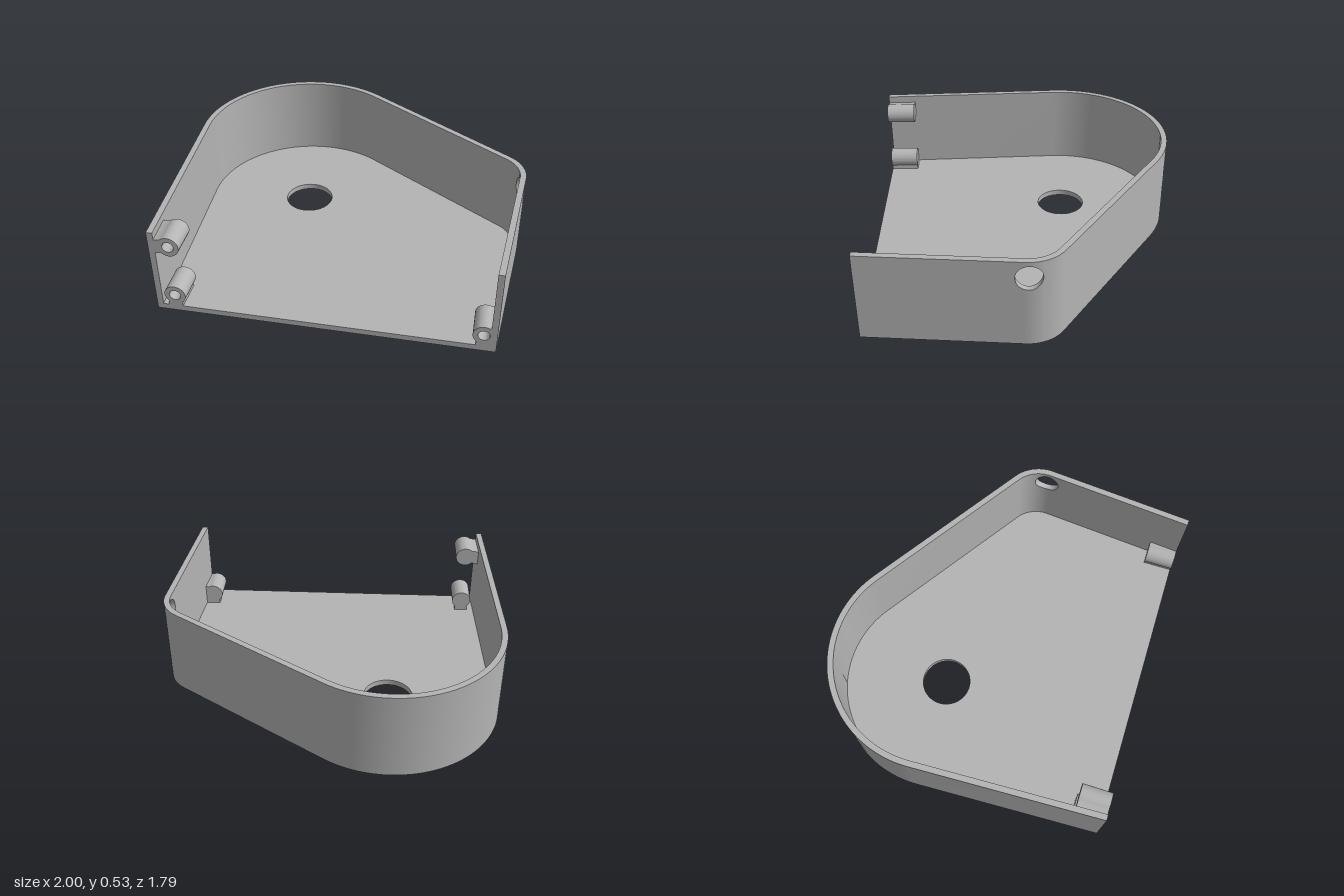
import * as THREE from 'three';
import { toCreasedNormals } from 'three/addons/utils/BufferGeometryUtils.js';

const H = 0.53, T = 0.035, FRONT = 0.895;          // height, wall thickness, open front edge
const BIG = { x: -0.35, z: -0.245, r: 0.65 };      // large rounded corner
const SMALL = { x: 0.77, z: -0.003, r: 0.23 };     // small rounded corner
const PORT = { y: 0.43, z: -0.005, r: 0.073 };     // round hole through the right wall
const TILT = 0.084;                                // lean of the right wall
const SLOPE = 0.983;                               // angle of the slanted back wall's normal

// A station is [outerX, outerZ, innerX, innerZ]
function sideX(z, r) {
  const tx = SMALL.x + r * Math.cos(TILT), tz = SMALL.z + r * Math.sin(TILT);
  if (z > tz) return tx - (z - tz) * Math.tan(TILT);
  return SMALL.x + Math.sqrt(r * r - (z - SMALL.z) ** 2);
}
const sideStation = (z) => [sideX(z, SMALL.r), z, sideX(z, SMALL.r - T), z];

function arcStations(c, from, to, steps) {
  const list = [];
  for (let i = 0; i <= steps; i++) {
    const a = from + (to - from) * i / steps, cos = Math.cos(a), sin = Math.sin(a);
    list.push([c.x + c.r * cos, c.z - c.r * sin, c.x + (c.r - T) * cos, c.z - (c.r - T) * sin]);
  }
  return list;
}

// Wall strip lofted through stations; bottom and top heights may vary per station
function wallGeometry(stations, bottom, top, capStart, capEnd) {
  const pos = [], index = [];
  stations.forEach(([ox, oz, ix, iz], i) => {
    const y0 = bottom(i), y1 = top(i);
    pos.push(ox, y0, oz, ox, y1, oz, ix, y1, iz, ix, y0, iz);
  });
  const quad = (a, b, c, d) => index.push(a, b, c, a, c, d);
  const last = (stations.length - 1) * 4;
  for (let i = 0; i < last; i += 4) {
    for (let k = 0; k < 4; k++) {
      const n = (k + 1) % 4;
      quad(i + k, i + 4 + k, i + 4 + n, i + n);
    }
  }
  if (capStart) quad(0, 1, 2, 3);
  if (capEnd) quad(last, last + 3, last + 2, last + 1);
  const g = new THREE.BufferGeometry();
  g.setAttribute('position', new THREE.Float32BufferAttribute(pos, 3));
  g.setIndex(index);
  return toCreasedNormals(g, 0.5);
}

function extrude(shape, depth) {
  const g = new THREE.ExtrudeGeometry(shape, { depth, bevelEnabled: false, curveSegments: 32 });
  return toCreasedNormals(g, 0.5);
}

export function createModel() {
  const group = new THREE.Group();
  const grey = new THREE.MeshStandardMaterial({ color: 0xb4b4b4 });
  grey.name = 'grey';
  const add = (name, geometry, parent = group) => {
    const mesh = new THREE.Mesh(geometry, grey);
    mesh.name = name;
    parent.add(mesh);
    return mesh;
  };

  // Wall stations, running from the front right round the back to the front left
  const steps = 40;
  const portStations = [];
  for (let i = 0; i <= steps; i++) {
    portStations.push(sideStation(PORT.z + PORT.r * Math.cos(Math.PI * i / steps)));
  }
  const before = [sideStation(FRONT), portStations[0]];
  const after = [
    portStations[steps],
    ...arcStations(SMALL, 0.45, SLOPE, 10),
    ...arcStations(BIG, SLOPE, Math.PI + 0.044, 56),
    [-0.95, FRONT, -0.915, FRONT],
  ];

  // Floor with a round opening
  const outline = [...before, ...portStations.slice(1), ...after.slice(1)];
  const floorShape = new THREE.Shape(outline.map(([x, z]) => new THREE.Vector2(x, -z)));
  floorShape.holes.push(new THREE.Path().absarc(-0.345, 0.245, 0.145, 0, Math.PI * 2, true));
  add('floor', extrude(floorShape, T).rotateX(-Math.PI / 2));

  // Walls, with the strip at the port split above and below the hole
  const base = () => T, rim = () => H;
  const arch = (i) => PORT.r * Math.sin(Math.PI * i / steps);
  add('rightWall', wallGeometry(before, base, rim, true, false));
  add('wallBelowPort', wallGeometry(portStations, base, (i) => PORT.y - arch(i), false, false));
  add('wallAbovePort', wallGeometry(portStations, (i) => PORT.y + arch(i), rim, false, false));
  add('backAndLeftWall', wallGeometry(after, base, rim, false, true));

  // Screw bosses: a round post with a web to the wall or floor and a blind hole
  const boss = (name, x, y, fromDeg, toDeg, web) => {
    const outlineShape = () => {
      const s = new THREE.Shape();
      s.absarc(x, y, 0.06, fromDeg * Math.PI / 180, toDeg * Math.PI / 180, false);
      web.forEach(([wx, wy]) => s.lineTo(wx, wy));
      s.closePath();
      return s;
    };
    const post = new THREE.Group();
    post.name = name;
    const drilled = outlineShape();
    drilled.holes.push(new THREE.Path().absarc(x, y, 0.032, 0, Math.PI * 2, true));
    add('drilledPost', extrude(drilled, 0.145), post).position.z = FRONT - 0.145;
    add('postEnd', extrude(outlineShape(), 0.03), post).position.z = FRONT - 0.175;
    group.add(post);
  };
  boss('upperScrewBoss', -0.84, 0.445, -135, 130, [[-0.93, 0.485], [-0.93, 0.395]]);
  boss('lowerRightScrewBoss', -0.84, 0.108, -50, 230, [[-0.885, 0.03], [-0.8, 0.03]]);
  boss('lowerLeftScrewBoss', 0.855, 0.108, 65, 230, [[0.815, 0.03], [0.908, 0.03], [0.908, 0.162]]);

  return group;
}
